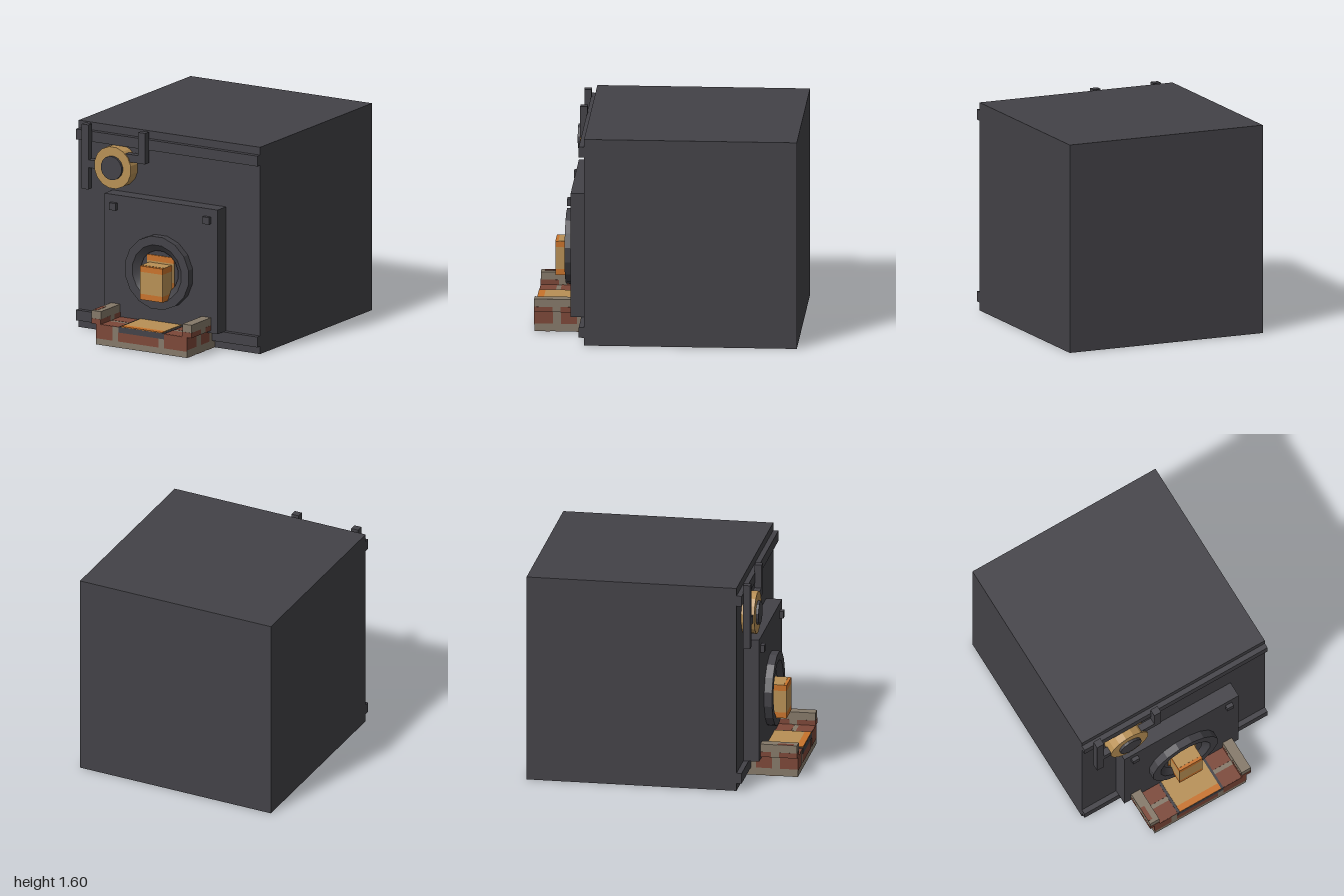
import * as THREE from 'three';
import { toCreasedNormals } from 'three/addons/utils/BufferGeometryUtils.js';

const mat = (name, color) => {
  const m = new THREE.MeshStandardMaterial({ color });
  m.name = name;
  return m;
};

export function createModel() {
  const root = new THREE.Group();
  root.name = 'furnace';
  const iron = mat('dark iron', 0x434247);
  const brass = mat('brass', 0xb89055);
  const ember = mat('ember orange', 0xc8732b);
  const brick = mat('red brick', 0x7c4738);
  const mortar = mat('mortar grey', 0x857969);

  const add = (name, geo, material, parent = root) => {
    const m = new THREE.Mesh(geo, material);
    m.name = name;
    parent.add(m);
    return m;
  };
  // Box given by its low and high corners
  const block = (name, material, x0, x1, y0, y1, z0, z1, parent) => {
    const g = new THREE.BoxGeometry(x1 - x0, y1 - y0, z1 - z0);
    g.translate((x0 + x1) / 2, (y0 + y1) / 2, (z0 + z1) / 2);
    return add(name, g, material, parent);
  };
  // Sixteen-sided disc facing +z, standing on the plane z0
  const disc = (name, material, r, x, y, z0, z1) => {
    const g = new THREE.CylinderGeometry(r, r, z1 - z0, 16, 1, false, Math.PI / 16);
    g.rotateX(Math.PI / 2).translate(x, y, (z0 + z1) / 2);
    return add(name, toCreasedNormals(g, 0.3), material);
  };

  // Body, front bands and door panel
  block('body', iron, -0.8, 0.8, 0, 1.6, -1, 0.6);
  block('topBand', iron, -0.8, 0.8, 1.46, 1.54, 0.6, 0.64);
  block('bottomBand', iron, -0.8, 0.8, 0.06, 0.14, 0.6, 0.64);
  block('doorPanel', iron, -0.5, 0.5, 0.14, 1.1, 0.6, 0.72);
  for (const s of [-1, 1])
    block('doorBolt', iron, s * 0.412 - 0.028, s * 0.412 + 0.028, 0.985, 1.04, 0.72, 0.75);

  // Round furnace mouth with a funnelled rim
  const profile = [[0.285, 0], [0.285, 0.06], [0.218, 0.06], [0.165, 0.02]]
    .map(([r, h]) => new THREE.Vector2(r, h));
  const rim = new THREE.LatheGeometry(profile, 16, Math.PI / 16);
  rim.rotateX(Math.PI / 2).translate(0, 0.56, 0.72);
  add('mouthRim', toCreasedNormals(rim, 0.3), iron);

  // Glowing plate inside the mouth, orange at top and bottom
  const glow = new THREE.Group();
  glow.name = 'glowPlate';
  root.add(glow);
  block('glowBottom', ember, -0.12, 0.12, 0.44, 0.485, 0.72, 0.728, glow);
  block('glowMiddle', brass, -0.12, 0.12, 0.485, 0.635, 0.72, 0.728, glow);
  block('glowTop', ember, -0.12, 0.12, 0.635, 0.68, 0.72, 0.728, glow);

  // Ingot coming out of the mouth
  const ingot = new THREE.Group();
  ingot.name = 'ingot';
  root.add(ingot);
  block('ingotBottom', ember, -0.1, 0.1, 0.36, 0.405, 0.728, 0.86, ingot);
  block('ingotMiddle', brass, -0.1, 0.1, 0.405, 0.575, 0.728, 0.86, ingot);
  block('ingotTop', ember, -0.1, 0.1, 0.575, 0.62, 0.728, 0.86, ingot);
  block('ingotTopFace', brass, -0.1, 0.1, 0.62, 0.622, 0.728, 0.837, ingot);

  // Gauge
  disc('gaugeCase', brass, 0.163, -0.44, 1.3, 0.6, 0.7);
  disc('gaugeFace', iron, 0.092, -0.44, 1.3, 0.7, 0.72);

  // Square pipes
  block('leftPipe', iron, -0.72, -0.66, 1.1, 1.6, 0.635, 0.69);
  block('leftPipeBranch', iron, -0.66, -0.56, 1.27, 1.33, 0.635, 0.69);
  block('rightPipe', iron, -0.22, -0.16, 1.36, 1.6, 0.635, 0.69);
  block('rightPipeBranch', iron, -0.36, -0.22, 1.36, 1.42, 0.635, 0.69);

  // Brick hearth with side rails
  const hearth = new THREE.Group();
  hearth.name = 'hearth';
  root.add(hearth);
  const T = 0.002;
  block('hearthBase', mortar, -0.4, 0.4, T, 0.16, 0.6, 0.998, hearth);
  for (const s of [-1, 1])
    block('hearthRail', mortar, s * 0.4 - 0.04, s * 0.4 + 0.04, 0.16, 0.26, 0.72, 0.998, hearth);

  // Front bricks
  for (const [x0, x1, y1] of [[-0.4, -0.255, 0.16], [-0.205, 0.15, 0.12], [0.2, 0.4, 0.16]])
    block('frontBrick', brick, x0, x1, 0.05, y1, 0.998, 1, hearth);
  for (const s of [-1, 1]) {
    // Rail front, rail sides, hearth sides and hearth top
    block('railFrontBrick', brick, s * 0.4 - 0.04, s * 0.4 + 0.04, 0.16, 0.2, 0.998, 1, hearth);
    for (const [z0, z1] of [[0.86, 0.998], [0.72, 0.8]])
      for (const x of [0.36, 0.44])
        block('railSideBrick', brick, s * x - T / 2, s * x + T / 2, 0.16, 0.2, z0, z1, hearth);
    for (const [z0, z1] of [[0.86, 0.998], [0.68, 0.8]])
      block('sideBrick', brick, s * 0.4 - T / 2, s * 0.4 + T / 2, 0.06, 0.16, z0, z1, hearth);
    for (const [z0, z1] of [[0.72, 0.84], [0.875, 0.998]])
      block('topBrick', brick, s * 0.28 - 0.08, s * 0.28 + 0.08, 0.16, 0.162, z0, z1, hearth);
  }
  block('railTopBrick', brick, -0.44, -0.405, 0.26, 0.262, 0.85, 0.97, hearth);

  // Staggered bricks underneath
  for (let row = 0; row < 3; row++) {
    const z = 0.62 + row * 0.13;
    for (let i = -1; i < 3; i++) {
      const start = -0.38 + i * 0.34 + (row % 2) * 0.17;
      const x0 = Math.max(start, -0.4), x1 = Math.min(start + 0.29, 0.4);
      if (x1 - x0 > 0.03) block('undersideBrick', brick, x0, x1, 0, T, z, z + 0.09, hearth);
    }
  }

  // Iron tray with a glowing metal sheet
  block('castingTray', iron, -0.2, 0.2, 0.12, 0.165, 0.72, 1.001);
  block('metalSheet', brass, -0.18, 0.18, 0.165, 0.171, 0.72, 0.95);
  block('metalSheetEdge', ember, -0.18, 0.18, 0.165, 0.171, 0.95, 1);

  return root;
}
